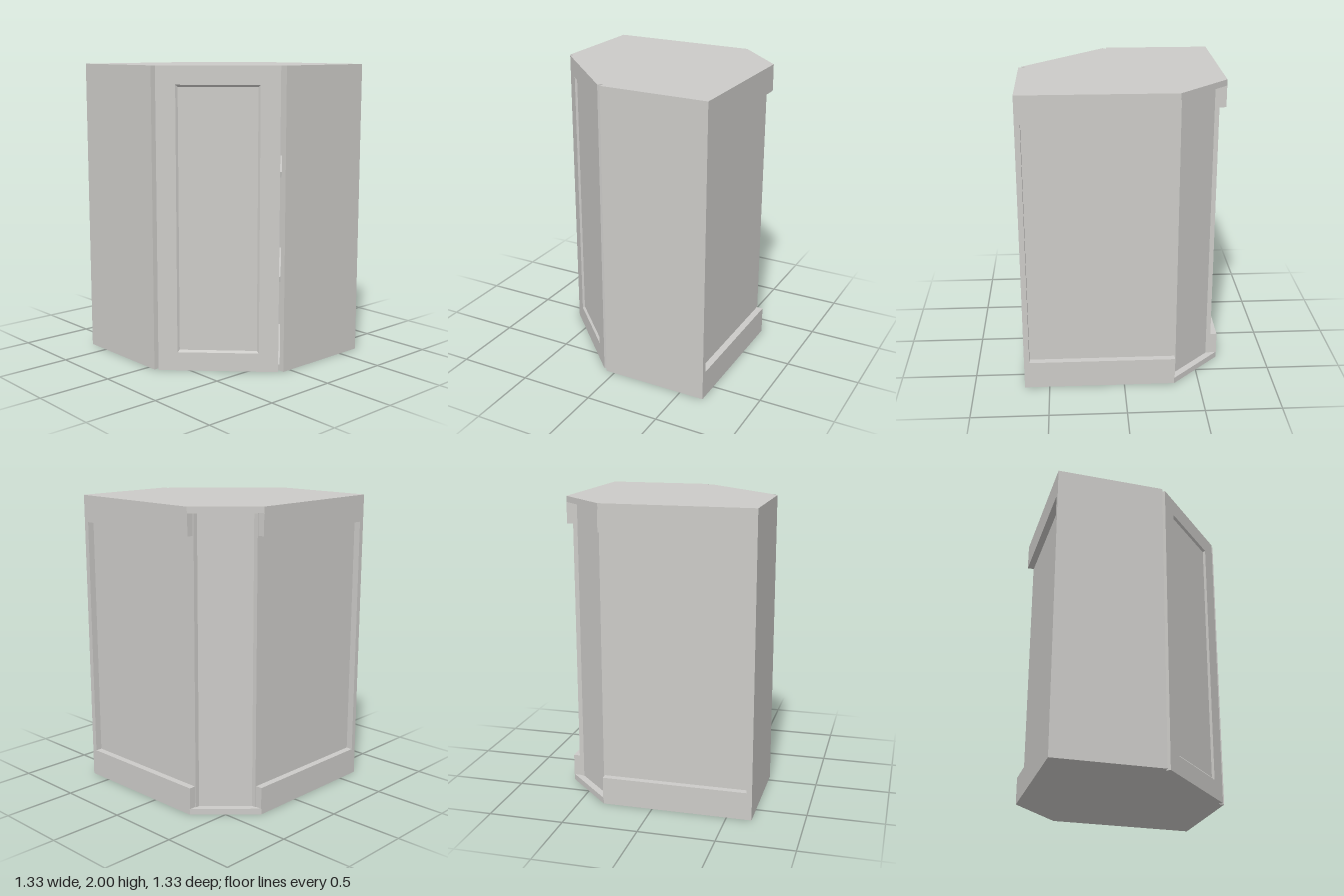
import * as THREE from 'three';

export function createModel() {
  const model = new THREE.Group();
  model.name = 'cornerCabinet';
  const paint = new THREE.MeshStandardMaterial({ color: 0xcccbc8 });
  paint.name = 'light grey paint';

  const add = (name, geometry, parent = model) => {
    const mesh = new THREE.Mesh(geometry, paint);
    mesh.name = name;
    parent.add(mesh);
    return mesh;
  };

  // Upright prism from a plan outline of [x, z] points
  const prism = (name, plan, y0, y1) => {
    const shape = new THREE.Shape(plan.map(([x, z]) => new THREE.Vector2(x, z)));
    const geometry = new THREE.ExtrudeGeometry(shape, { depth: y1 - y0, bevelEnabled: false });
    geometry.rotateX(Math.PI / 2).translate(0, y1, 0);
    return add(name, geometry);
  };
  // The plan is symmetric about the diagonal x = -z
  const mirror = (plan) => plan.map(([x, z]) => [-z, -x]);
  const rect = (x0, x1, z0, z1) => [[x0, z0], [x1, z0], [x1, z1], [x0, z1]];

  const H = 2, S = 0.665, T = 0.04;

  // Top and base boards
  const half = [[0.665, -0.335], [S, S], [-0.06, S], [-0.06, 0.615]];
  const footprint = [...half, ...mirror(half).reverse()];
  prism('base', footprint, 0, T);
  prism('top', footprint, H - T, H);

  // Inner shelves
  const halfShelf = [[0.59, -0.345], [0.59, 0.63], [-0.06, 0.615]];
  const shelf = [...halfShelf, ...mirror(halfShelf).reverse()];
  for (const y of [0.6, 1.29]) prism('shelf', shelf, y, y + 0.035);

  // Paired walls: plain side, recessed back panel and its rails
  const pairs = [
    ['sidePanel', rect(-0.06, S, 0.63, S), T, H - T],
    ['backPanel', rect(0.59, 0.62, -0.345, 0.63), T, H - T],
    ['lowerRail', rect(0.62, S, -0.338, 0.63), T, 0.185],
    ['upperRail', rect(0.62, S, -0.338, 0.63), 1.82, H - T],
  ];
  for (const [name, plan, y0, y1] of pairs) {
    prism(name + 'A', plan, y0, y1);
    prism(name + 'B', mirror(plan), y0, y1);
  }

  // Diagonal panel across the rear corner
  prism('cornerPanel', [[0.59, -0.345], [0.345, -0.59], [0.32, -0.59], [0.59, -0.32]], T, H - T);

  // Door set diagonally across the front
  const door = new THREE.Group();
  door.name = 'door';
  door.position.set(-0.34, 0, 0.335);
  door.rotation.y = -Math.PI / 4;
  model.add(door);

  const W = 0.396, back = 0.029, front = 0.042;
  const w = 0.269, y0 = 0.125, y1 = 1.88, bevel = 0.014;
  const panel = new THREE.BoxGeometry(2 * W, H, back);
  add('doorPanel', panel.translate(0, H / 2, back / 2), door);

  const corners = (a, b, c) => [[-a, b], [a, b], [a, c], [-a, c]];
  const points = (list) => list.map(([x, y]) => new THREE.Vector2(x, y));
  const frame = new THREE.Shape(points(corners(W, 0, H)));
  frame.holes.push(new THREE.Path(points(corners(w, y0, y1))));
  const frameGeometry = new THREE.ExtrudeGeometry(frame, { depth: front - back, bevelEnabled: false });
  add('doorFrame', frameGeometry.translate(0, 0, back), door);

  // Sloped moulding from the frame opening down to the panel
  const outer = corners(w, y0, y1).map(([x, y]) => [x, y, front]);
  const inner = corners(w - bevel, y0 + bevel, y1 - bevel).map(([x, y]) => [x, y, back]);
  const slope = [];
  for (let i = 0; i < 4; i++) {
    const j = (i + 1) % 4;
    slope.push(...outer[i], ...outer[j], ...inner[j], ...outer[i], ...inner[j], ...inner[i]);
  }
  const moulding = new THREE.BufferGeometry();
  moulding.setAttribute('position', new THREE.Float32BufferAttribute(slope, 3));
  moulding.computeVertexNormals();
  add('doorMoulding', moulding, door);

  return model;
}
